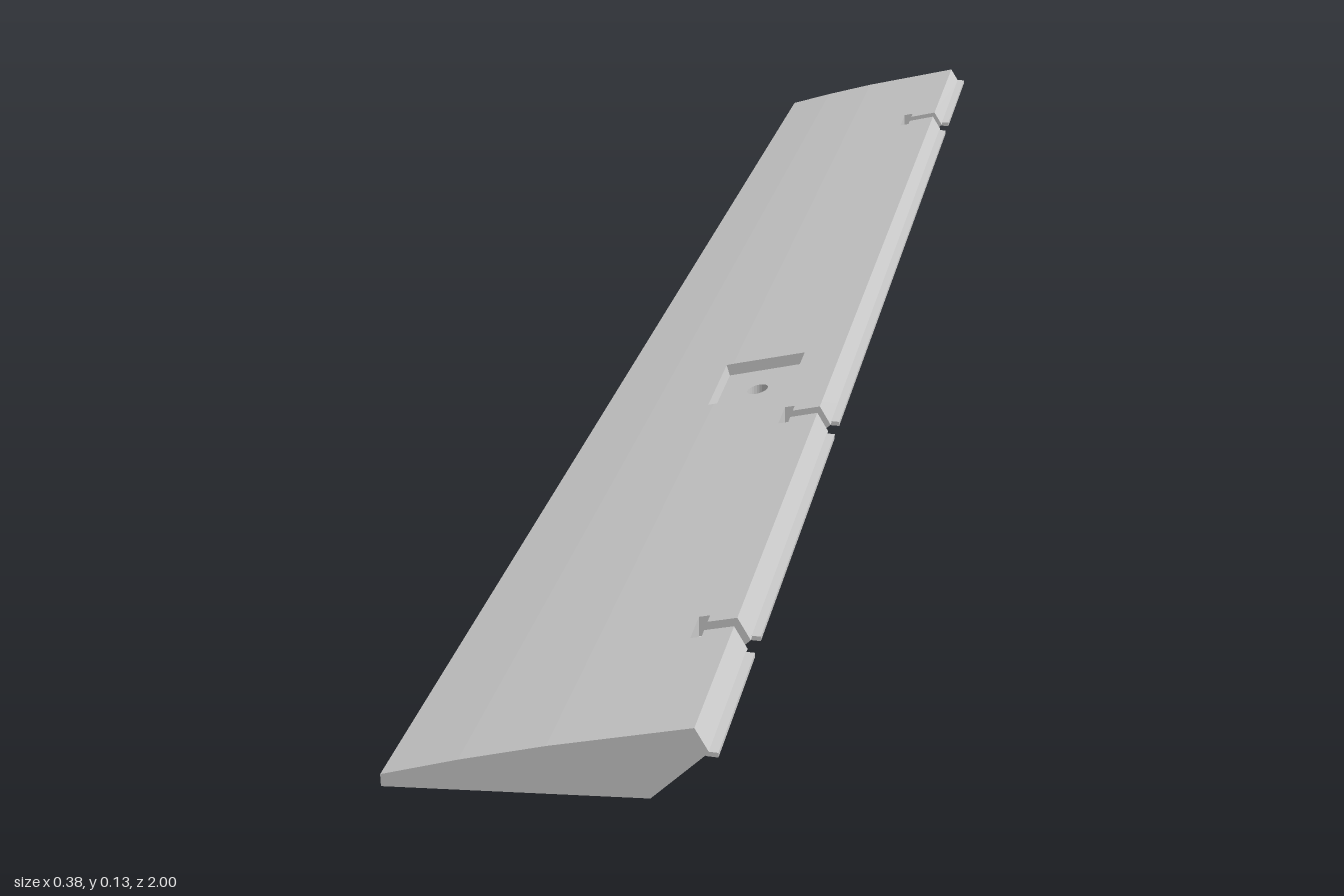
import * as THREE from 'three';

const lerp = THREE.MathUtils.lerp;

// Upper and lower outline of the tapered flap at a station z
function chains(z) {
  const t = (1 - z) / 2;
  const p = (x0, y0, x1, y1) => [lerp(x0, x1, t), lerp(y0, y1, t)];
  const nose = [0.18, 0.097];
  return {
    upper: [p(-0.19, 0.016, -0.10, 0.034), p(-0.1, 0.048, -0.04, 0.055), p(0, 0.08, 0.03, 0.0775),
      p(0.164, 0.126, 0.168, 0.116), nose],
    lower: [p(-0.19, 0, -0.10, 0.02), p(0.115, 0.028, 0.121, 0.034), nose],
  };
}

function yAt(chain, x) {
  for (let i = 1; i < chain.length; i++) {
    const [a, b] = [chain[i - 1], chain[i]];
    if (x >= a[0] && x <= b[0]) return lerp(a[1], b[1], (x - a[0]) / (b[0] - a[0] || 1));
  }
  return chain[chain.length - 1][1];
}

// Replace the stretch a..b of an outline by a pocket with its own floor points
function pocket(chain, a, b, floor) {
  const ya = yAt(chain, a), yb = yAt(chain, b);
  return [...chain.filter(q => q[0] < a), [a, ya], ...floor(ya, yb), [b, yb], ...chain.filter(q => q[0] > b)];
}

const before = (c, x) => [...c.filter(q => q[0] < x - 1e-6), [x, yAt(c, x)]];
const after = (c, x) => [[x, yAt(c, x)], ...c.filter(q => q[0] > x + 1e-6)];

// Closed polygon, counter-clockwise seen from +z
function outline({ upper, lower }) {
  const pts = [...lower, ...upper.slice().reverse()];
  return pts.filter((q, i) => {
    const n = pts[(i + 1) % pts.length];
    return Math.hypot(q[0] - n[0], q[1] - n[1]) > 1e-6;
  });
}

// Closed slab between two stations
function slab(z0, z1, section, out) {
  const A = outline(section(z0)), B = outline(section(z1)), n = A.length;
  const put = (q, z) => out.push(q[0], q[1], z);
  for (let i = 0; i < n; i++) {
    const j = (i + 1) % n;
    put(A[i], z0); put(A[j], z0); put(B[j], z1);
    put(A[i], z0); put(B[j], z1); put(B[i], z1);
  }
  for (const [P, z, flip] of [[A, z0, true], [B, z1, false]]) {
    const tris = THREE.ShapeUtils.triangulateShape(P.map(q => new THREE.Vector2(...q)), []);
    for (const [a, b, c] of tris) for (const k of flip ? [a, c, b] : [a, b, c]) put(P[k], z);
  }
}

// Hinge slots: crossbar and open stem
const SLOT_FLOOR = 0.086;
const bar = z => {
  const c = chains(z);
  return { upper: pocket(c.upper, 0.117, 0.13, () => [[0.1171, SLOT_FLOOR], [0.1299, SLOT_FLOOR]]), lower: c.lower };
};
const stem = z => {
  const c = chains(z), x = 0.1695;
  return {
    upper: [...before(c.upper, 0.117), [0.1171, SLOT_FLOOR], [x, yAt(c.lower, x) + 0.0002]],
    lower: before(c.lower, x),
  };
};

// Horn mount: sunken seats above and below, joined by a round hole
const HOLE = { x: 0.06, z: 0.132, r: 0.014 };
const topSeat = z => {
  const c = chains(z), d = 0.016;
  const floor = (ya, yb) => [[0.005 + 0.28 * d, ya - 0.96 * d], [0.113 + 0.28 * d, yb - 0.96 * d]];
  return { upper: pocket(c.upper, 0.005, 0.113, floor), lower: c.lower };
};
const bothSeats = z => {
  const c = topSeat(z), d = 0.013;
  const floor = (ya, yb) => [[0.0181, ya + d], [0.0999, yb + d]];
  return { upper: c.upper, lower: pocket(c.lower, 0.018, 0.1, floor) };
};
const halfWidth = z => Math.sqrt(Math.max(0, HOLE.r ** 2 - (z - HOLE.z) ** 2));
const holeLeft = z => {
  const c = bothSeats(z), x = HOLE.x - halfWidth(z);
  return { upper: before(c.upper, x), lower: before(c.lower, x) };
};
const holeRight = z => {
  const c = bothSeats(z), x = HOLE.x + halfWidth(z);
  return { upper: after(c.upper, x), lower: after(c.lower, x) };
};

export function createModel() {
  const group = new THREE.Group();
  const material = new THREE.MeshStandardMaterial({ color: 0xcccccc, flatShading: true, side: THREE.DoubleSide });
  const hinges = [-0.79, 0.26, 0.785];

  // Special stretches along the span
  const spans = [];
  for (const h of hinges) spans.push([h - 0.023, h - 0.009, bar], [h - 0.009, h + 0.009, stem], [h + 0.009, h + 0.023, bar]);
  const { z: hz, r } = HOLE;
  spans.push([hz - 0.06, hz - 0.042, topSeat], [hz - 0.042, hz - r, bothSeats],
    [hz + r, hz + 0.042, bothSeats], [hz + 0.042, hz + 0.06, topSeat]);
  const steps = 12;
  for (let i = 0; i < steps; i++) {
    const a = hz - r * Math.cos(Math.PI * i / steps), b = hz - r * Math.cos(Math.PI * (i + 1) / steps);
    spans.push([a, b, holeLeft], [a, b, holeRight]);
  }
  spans.sort((a, b) => a[0] - b[0]);

  // Flap body, with plain slabs filling the gaps
  const pos = [];
  let z = -1;
  for (const [a, b, section] of [...spans, [1, 1, null]]) {
    if (a - z > 1e-6) slab(z, a, chains, pos);
    if (section) slab(a, b, section, pos);
    z = Math.max(z, b);
  }
  const geo = new THREE.BufferGeometry();
  geo.setAttribute('position', new THREE.Float32BufferAttribute(pos, 3));
  geo.computeVertexNormals();
  const body = new THREE.Mesh(geo, material);
  body.name = 'flapBody';
  group.add(body);

  // Hinge lip along the nose, interrupted at the slots
  const lip = new THREE.Group();
  lip.name = 'hingeLip';
  const ends = [-1, ...hinges.flatMap(h => [h - 0.017, h + 0.017]), 1];
  for (let i = 0; i < ends.length; i += 2) {
    const strip = new THREE.Mesh(new THREE.BoxGeometry(0.014, 0.006, ends[i + 1] - ends[i]), material);
    strip.position.set(0.183, 0.095, (ends[i] + ends[i + 1]) / 2);
    strip.name = 'lipStrip';
    lip.add(strip);
  }
  group.add(lip);
  return group;
}
